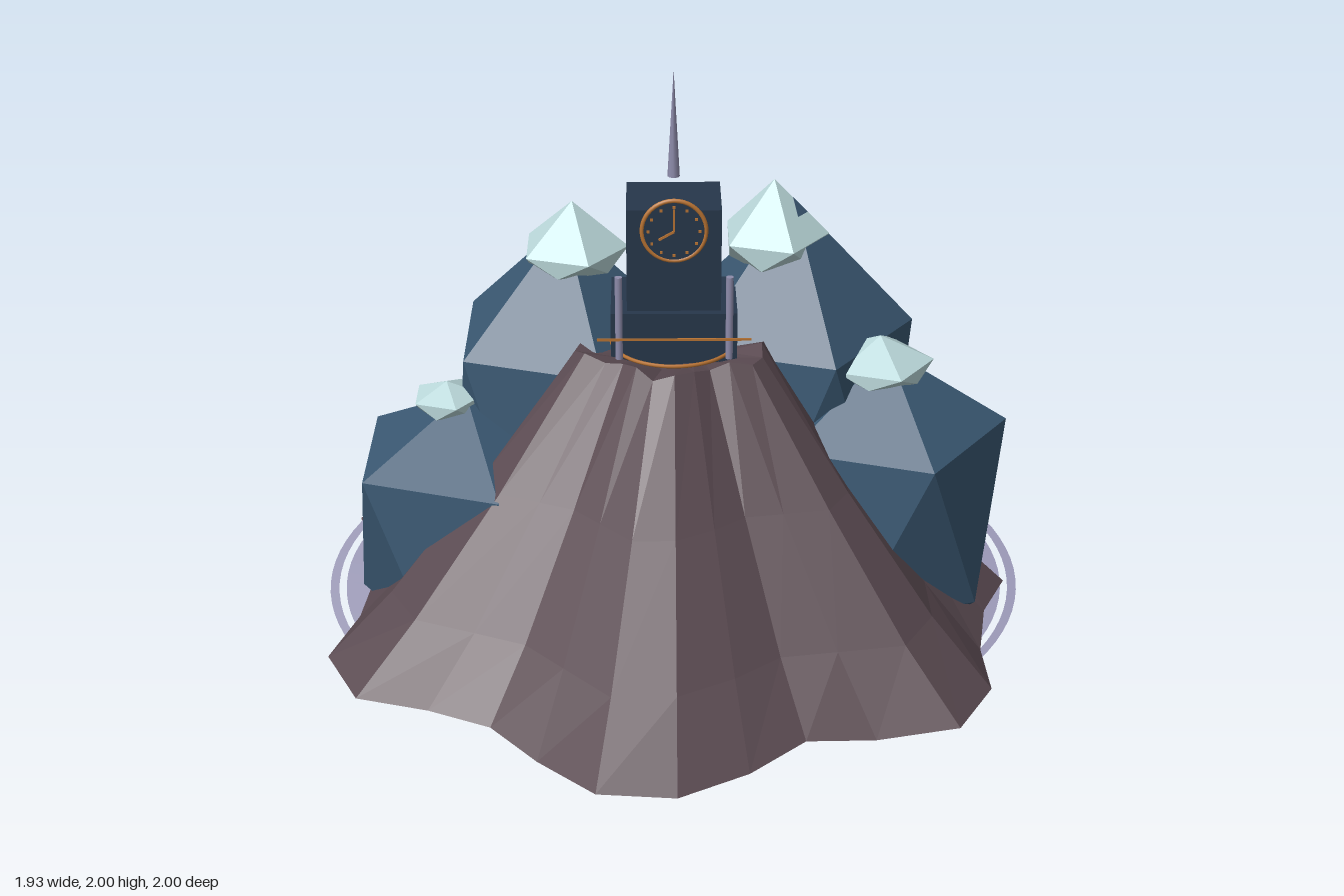
import * as THREE from 'three';
import { ConvexGeometry } from 'three/addons/geometries/ConvexGeometry.js';

const mat = (name, color, extra = {}) => {
  const m = new THREE.MeshStandardMaterial({ color, ...extra });
  m.name = name;
  return m;
};

export function createModel() {
  const root = new THREE.Group();
  const lilac = mat('lilac grey', 0x8e8cab, { side: THREE.DoubleSide });
  const earth = mat('volcanic brown', 0x5a4a51, { side: THREE.DoubleSide, flatShading: true });
  const rock = mat('slate blue', 0x3a5872, { flatShading: true });
  const snow = mat('pale snow', 0xbcdadc, { flatShading: true });
  const navy = mat('dark navy', 0x27374b);
  const copper = mat('copper', 0xb87333);

  const add = (name, geometry, material, x = 0, y = 0, z = 0, parent = root) => {
    const m = new THREE.Mesh(geometry, material);
    m.name = name;
    m.position.set(x, y, z);
    parent.add(m);
    return m;
  };

  // Planet and its flat elliptical rings, tilted low at the front
  add('planet', new THREE.SphereGeometry(0.495, 48, 32), lilac, 0, 0.495, 0);
  for (const [inner, outer] of [[0.6, 0.75], [0.77, 0.92], [0.94, 0.965]]) {
    const ring = add('planetRing', new THREE.RingGeometry(inner, outer, 96), lilac, 0, 0.5, 0);
    ring.scale.y = 0.54;
    ring.rotation.x = -Math.PI / 2 + 0.52;
  }

  // Volcano shell: scalloped loops, mirrored front to back
  const half = [0.93, 0.87, 0.89, 0.99, 1.02, 0.91, 0.85, 0.92, 1.0, 1.02, 0.91, 0.85, 0.9, 1.0, 1.0, 0.88, 0.85];
  const loops = [[1, 0.495], [0.815, 0.66], [0.55, 0.95], [0.28, 1.275], [0.16, 1.24], [0, 1.22]];
  const n = 32, pos = [], index = [];
  loops.forEach(([scale, y], k) => {
    for (let i = 0; i < n; i++) {
      const a = (i / n) * Math.PI * 2;
      const r = half[i <= 16 ? i : n - i] * scale;
      const wobble = k === 0 || k === 3 ? 0.01 * Math.sin(i * 2.3 + k) : 0;
      pos.push(r * Math.cos(a), y + wobble, r * Math.sin(a));
    }
  });
  for (let k = 0; k < loops.length - 1; k++) {
    for (let i = 0; i < n; i++) {
      const a = k * n + i, b = k * n + ((i + 1) % n);
      index.push(a, a + n, b, b, a + n, b + n);
    }
  }
  const shell = new THREE.BufferGeometry();
  shell.setAttribute('position', new THREE.Float32BufferAttribute(pos, 3));
  shell.setIndex(index);
  const flatShell = shell.toNonIndexed();
  flatShell.computeVertexNormals();
  add('volcano', flatShell, earth);

  // Faceted solid: two five-sided rings, the lower turned by half a step, with tips
  const crystal = (top, upperY, upperR, lowerY, lowerR, bottom) => {
    const pts = [new THREE.Vector3(0, top, 0), new THREE.Vector3(0, bottom, 0)];
    for (let i = 0; i < 5; i++) {
      const a = (i / 5) * Math.PI * 2, b = a + Math.PI / 5;
      pts.push(new THREE.Vector3(upperR * Math.cos(a), upperY, upperR * Math.sin(a)));
      pts.push(new THREE.Vector3(lowerR * Math.cos(b), lowerY, lowerR * Math.sin(b)));
    }
    return new ConvexGeometry(pts);
  };

  // Peaks: centre x and z, then heights and radii from tip to tip
  const peaks = [
    { x: -0.29, z: -0.17, body: [1.52, 1.2, 0.335, 0.64, 0.32, 0.28] },
    { x: 0.32, z: -0.17, body: [1.59, 1.23, 0.335, 0.66, 0.32, 0.3] },
    { x: 0.57, z: 0.02, body: [1.23, 1.02, 0.33, 0.55, 0.31, 0.28] },
    { x: -0.56, z: 0.01, body: [1.1, 0.93, 0.33, 0.5, 0.31, 0.24] },
  ];
  for (const p of peaks) add('rockPeak', crystal(...p.body), rock, p.x, 0, p.z);

  // Snow caps
  const caps = [
    { x: -0.27, z: -0.17, body: [1.58, 1.45, 0.15, 1.4, 0.118, 1.37] },
    { x: 0.27, z: -0.17, body: [1.64, 1.485, 0.15, 1.42, 0.118, 1.37] },
    { x: 0.55, z: 0.02, body: [1.27, 1.2, 0.145, 1.16, 0.118, 1.14] },
    { x: -0.61, z: 0.0, body: [1.13, 1.09, 0.1, 1.05, 0.08, 1.03] },
  ];
  for (const c of caps) add('snowCap', crystal(...c.body), snow, c.x, 0, c.z);

  // Clock tower with a floating spire
  add('towerBase', new THREE.BoxGeometry(0.33, 0.18, 0.24), navy, 0, 1.29, 0);
  add('towerBody', new THREE.BoxGeometry(0.245, 0.28, 0.2), navy, 0, 1.52, 0);
  add('spire', new THREE.ConeGeometry(0.016, 0.285, 8), lilac, 0, 1.8575, 0);

  // Clock on the front
  const clock = new THREE.Group();
  clock.name = 'clock';
  clock.position.set(0, 1.61, 0.115);
  root.add(clock);
  const face = add('clockFace', new THREE.CylinderGeometry(0.082, 0.082, 0.008, 32), navy, 0, 0, 0, clock);
  face.rotation.x = Math.PI / 2;
  add('clockRim', new THREE.TorusGeometry(0.082, 0.006, 8, 40), copper, 0, 0, 0, clock);
  for (let i = 0; i < 12; i++) {
    const a = (i / 12) * Math.PI * 2;
    add('hourMark', new THREE.BoxGeometry(0.007, 0.007, 0.004), copper,
      0.066 * Math.cos(a), 0.066 * Math.sin(a), 0.005, clock);
  }
  const hand = (name, length, angle) => {
    const h = add(name, new THREE.BoxGeometry(0.006, length, 0.004), copper,
      -Math.sin(angle) * length / 2, Math.cos(angle) * length / 2, 0.006, clock);
    h.rotation.z = angle;
  };
  hand('minuteHand', 0.06, 0);
  hand('hourHand', 0.045, Math.PI * 2 / 3);

  // Balcony posts and rails
  for (const s of [-1, 1]) {
    add('balconyPost', new THREE.CylinderGeometry(0.01, 0.01, 0.23, 10), lilac, s * 0.143, 1.38, 0.145);
  }
  add('straightRail', new THREE.BoxGeometry(0.4, 0.006, 0.004), copper, 0, 1.33, 0.17);
  const arc = add('curvedRail', new THREE.TorusGeometry(0.165, 0.005, 6, 32, Math.PI), copper, 0, 1.265, 0.03);
  arc.rotation.x = Math.PI / 2;

  return root;
}
